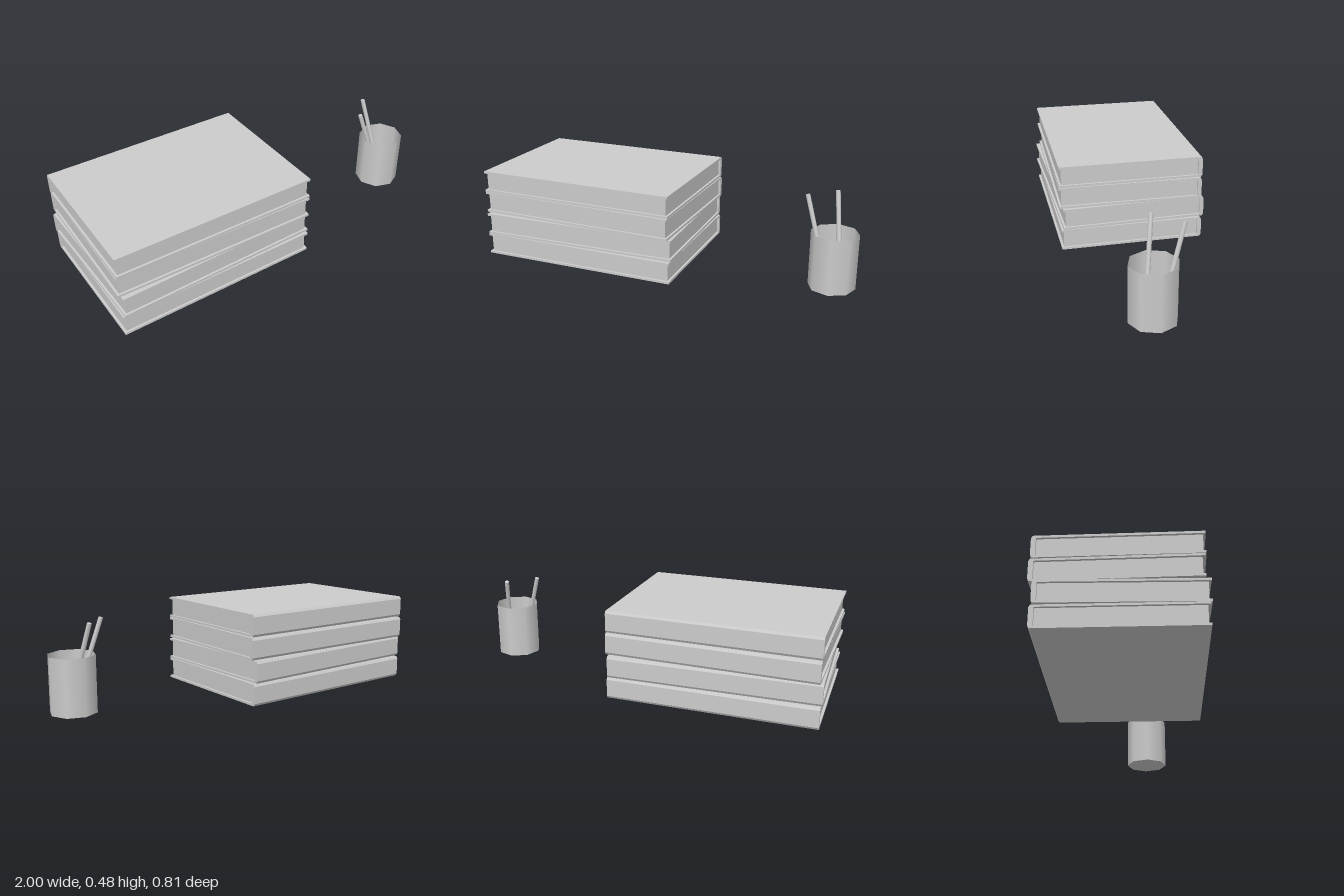
import * as THREE from 'three';

const material = new THREE.MeshStandardMaterial({ color: 0xcccccc });
const openMaterial = new THREE.MeshStandardMaterial({ color: 0xcccccc, side: THREE.DoubleSide });

function addMesh(parent, name, geometry, mat = material) {
  const mesh = new THREE.Mesh(geometry, mat);
  mesh.name = name;
  parent.add(mesh);
  return mesh;
}

const W = 1.094, H = 0.116, D = 0.784; // book width, thickness, depth
const BOARD = 0.012, SPINE = 0.023, BEVEL = 0.008, INSET = 0.012;

// C-shaped cover with a bevelled spine at the back, and an inset page block
function createBook() {
  const book = new THREE.Group();
  const d = D / 2, h = H / 2;
  const profile = new THREE.Shape([
    [-d, -h], [d - BEVEL, -h], [d, -h + BEVEL * 1.6], [d, h - BEVEL * 1.6], [d - BEVEL, h], [-d, h],
    [-d, h - BOARD], [d - SPINE, h - BOARD], [d - SPINE, -h + BOARD], [-d, -h + BOARD],
  ].map(([u, v]) => new THREE.Vector2(u, v)));
  const cover = new THREE.ExtrudeGeometry(profile, { depth: W, bevelEnabled: false });
  cover.translate(0, 0, -W / 2).rotateY(Math.PI / 2);
  addMesh(book, 'cover', cover);

  const pages = addMesh(book, 'pages',
    new THREE.BoxGeometry(W - 2 * INSET, H - 2 * BOARD, D - SPINE - INSET));
  pages.position.z = (SPINE - INSET) / 2;
  return book;
}

// Round stick between two points
function addPencil(parent, from, to) {
  const a = new THREE.Vector3(...from), b = new THREE.Vector3(...to);
  const pencil = addMesh(parent, 'pencil', new THREE.CylinderGeometry(0.012, 0.012, a.distanceTo(b), 8));
  pencil.position.copy(a).lerp(b, 0.5);
  pencil.quaternion.setFromUnitVectors(new THREE.Vector3(0, 1, 0), b.sub(a).normalize());
}

export function createModel() {
  const model = new THREE.Group();
  model.name = 'booksAndPenHolder';

  // Stack of books, each turned slightly: [centre y, centre z, turn]
  const stack = new THREE.Group();
  stack.name = 'bookStack';
  model.add(stack);
  [[0.06, 0.002, 0.002], [0.181, 0, 0.021], [0.3, -0.002, -0.018], [0.42, 0, -0.01]]
    .forEach(([y, z, turn], i) => {
      const book = createBook();
      book.name = `book${i + 1}`;
      book.position.set(-0.446, y, z);
      book.rotation.y = turn;
      stack.add(book);
    });

  // Open eight-sided cup
  const holder = new THREE.Group();
  holder.name = 'penHolder';
  model.add(holder);
  const R = 0.122, cupHeight = 0.295;
  const wall = addMesh(holder, 'cupWall',
    new THREE.CylinderGeometry(R, R, cupHeight, 8, 1, true), openMaterial);
  wall.position.set(0.877, 0.002 + cupHeight / 2, 0.085);
  wall.rotation.y = 0.06;
  const base = addMesh(holder, 'cupBase', new THREE.CircleGeometry(R, 8).rotateX(-Math.PI / 2), openMaterial);
  base.position.set(0.877, 0.002, 0.085);
  base.rotation.y = 0.06;

  // Two pencils leaning in the cup
  addPencil(holder, [0.842, 0.08, 0.11], [0.722, 0.47, 0.06]);
  addPencil(holder, [0.908, 0.07, 0.05], [0.849, 0.47, -0.065]);

  return model;
}
